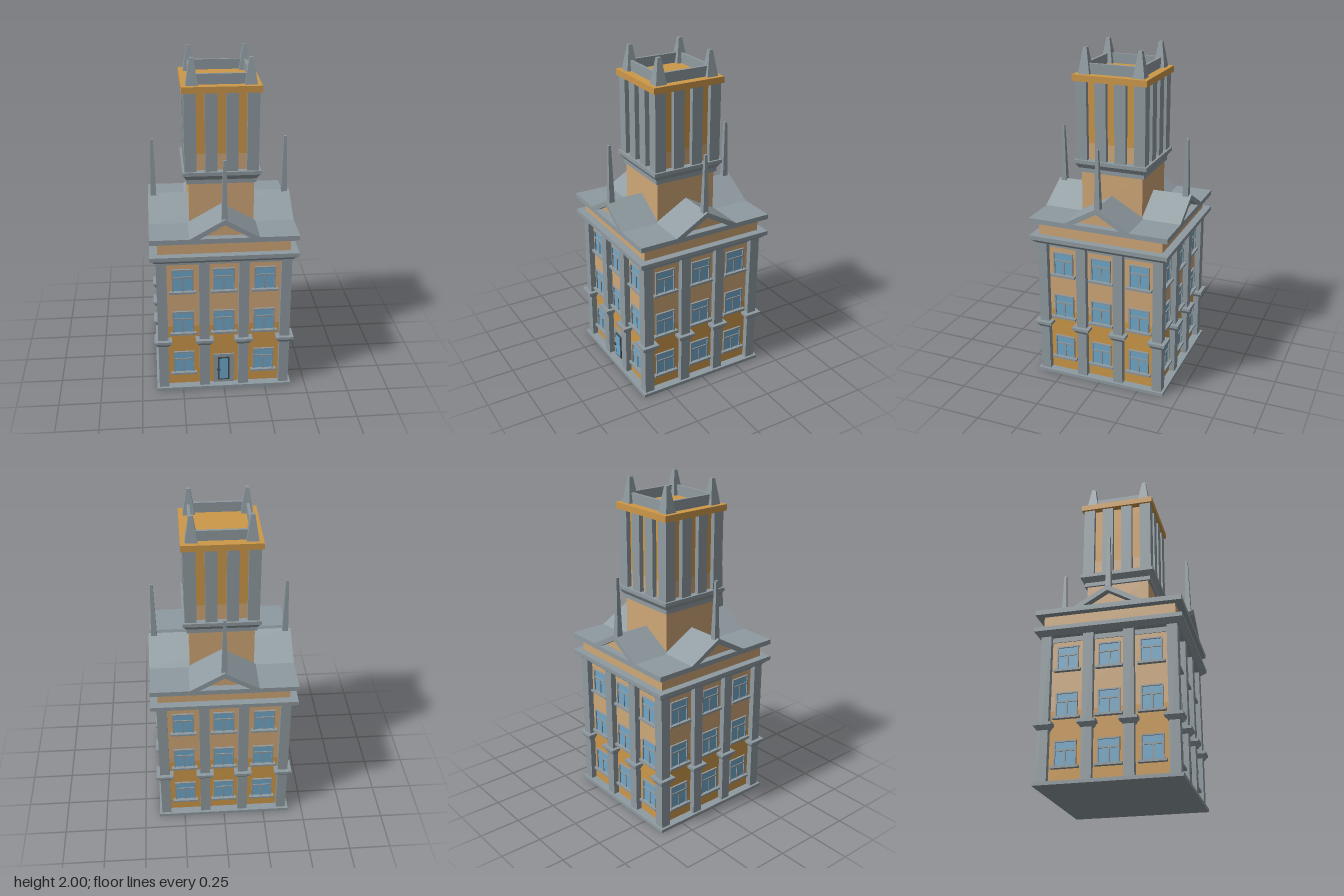
import * as THREE from 'three';

const mat = (name, color) => {
  const m = new THREE.MeshStandardMaterial({ color });
  m.name = name;
  return m;
};

export function createModel() {
  const stone = mat('grey stone', 0x8f9ba1);
  const tan = mat('tan plaster', 0xcfa878);
  const ochre = mat('ochre plaster', 0xcd984a);
  const glass = mat('blue glass', 0x6fa9cb);
  const dark = mat('dark metal', 0x3b4a52);

  const root = new THREE.Group();
  root.name = 'tower building';

  const add = (parent, name, geo, material) => {
    const m = new THREE.Mesh(geo, material);
    m.name = name;
    parent.add(m);
    return m;
  };
  // Box given by its limits on each axis
  const box = (parent, name, material, x0, x1, y0, y1, z0, z1) => {
    const m = add(parent, name, new THREE.BoxGeometry(x1 - x0, y1 - y0, z1 - z0), material);
    m.position.set((x0 + x1) / 2, (y0 + y1) / 2, (z0 + z1) / 2);
    return m;
  };
  // Centred square block
  const block = (name, material, h, y0, y1) => box(root, name, material, -h, h, y0, y1, -h, h);
  // Square frustum with half widths at bottom and top
  const frustum = (parent, name, material, x, z, y0, y1, hBottom, hTop) => {
    const g = new THREE.CylinderGeometry(hTop * Math.SQRT2, hBottom * Math.SQRT2, y1 - y0, 4)
      .rotateY(Math.PI / 4).toNonIndexed();
    g.computeVertexNormals();
    const m = add(parent, name, g, material);
    m.position.set(x, (y0 + y1) / 2, z);
  };

  // Main block
  block('basePlinth', stone, 0.41, 0, 0.02);
  block('lowerWalls', ochre, 0.36, 0.02, 0.425);
  block('upperWalls', tan, 0.36, 0.425, 0.87);
  block('wallBand', stone, 0.365, 0.84, 0.875);
  frustum(root, 'corniceSlope', stone, 0, 0, 0.87, 0.895, 0.4, 0.425);
  block('corniceSlab', stone, 0.43, 0.895, 0.92);

  // Window centred on x with its sill at y
  const addWindow = (parent, x, y) => {
    const w = new THREE.Group();
    w.name = 'window';
    w.position.set(x, y, 0);
    parent.add(w);
    box(w, 'windowPane', glass, -0.06, 0.06, 0.01, 0.15, 0.358, 0.364);
    for (const s of [-1, 1]) {
      box(w, 'windowJamb', stone, s * 0.059 - 0.004, s * 0.059 + 0.004, 0.01, 0.155, 0.358, 0.372);
    }
    box(w, 'windowHead', stone, -0.063, 0.063, 0.147, 0.155, 0.358, 0.372);
    box(w, 'windowTransom', stone, -0.06, 0.06, 0.097, 0.107, 0.358, 0.37);
    box(w, 'windowMullion', stone, -0.005, 0.005, 0.01, 0.1, 0.358, 0.37);
    box(w, 'windowSill', stone, -0.078, 0.078, 0, 0.013, 0.358, 0.385);
  };

  const addDoor = (parent) => {
    const d = new THREE.Group();
    d.name = 'door';
    parent.add(d);
    box(d, 'doorSurround', stone, -0.062, 0.062, 0.02, 0.22, 0.355, 0.37);
    box(d, 'doorFrame', dark, -0.034, 0.034, 0.04, 0.2, 0.365, 0.376);
    box(d, 'doorPane', glass, -0.026, 0.026, 0.049, 0.191, 0.37, 0.379);
    box(d, 'doorHandle', dark, -0.042, -0.022, 0.115, 0.123, 0.375, 0.388);
  };

  // Pillar with a flared collar
  const addPillar = (parent, x) => {
    const p = new THREE.Group();
    p.name = 'pillar';
    parent.add(p);
    box(p, 'pillarShaft', stone, x - 0.03, x + 0.03, 0.02, 0.88, 0.335, 0.395);
    frustum(p, 'pillarCollar', stone, x, 0.365, 0.31, 0.333, 0.034, 0.048);
    box(p, 'pillarCap', stone, x - 0.053, x + 0.053, 0.333, 0.35, 0.312, 0.418);
  };

  // Four matching sides, the door only on the front
  for (let i = 0; i < 4; i++) {
    const side = new THREE.Group();
    side.name = ['frontSide', 'leftSide', 'backSide', 'rightSide'][i];
    side.rotation.y = i * Math.PI / 2;
    root.add(side);

    for (const x of [-0.117, 0.117, 0.365]) addPillar(side, x);
    for (const x of [-0.242, 0, 0.242]) {
      for (const y of [0.095, 0.375, 0.655]) {
        if (i === 0 && x === 0 && y < 0.1) addDoor(side);
        else addWindow(side, x, y);
      }
    }

    // Spire on the gable, ribs of the belfry, parapet and corner finial
    frustum(side, 'gableSpire', stone, 0, 0.395, 1.12, 1.485, 0.018, 0.008);
    for (const x of [-0.06, 0.06]) {
      box(side, 'belfryRib', stone, x - 0.034, x + 0.034, 1.35, 1.82, 0.17, 0.213);
    }
    box(side, 'belfryCornerRib', stone, 0.145, 0.213, 1.35, 1.82, 0.145, 0.213);
    box(side, 'parapetRail', stone, -0.14, 0.14, 1.85, 1.912, 0.16, 0.176);
    frustum(side, 'cornerFinial', stone, 0.165, 0.165, 1.85, 2, 0.035, 0.011);
  }

  // Crossed gables: a tan attic under a bent roof slab, in both directions
  const prism = (pts, half) => new THREE.ExtrudeGeometry(
    new THREE.Shape(pts.map(([x, y]) => new THREE.Vector2(x, y))),
    { depth: half * 2, bevelEnabled: false }).translate(0, 0, -half);
  const attic = [[-0.385, 0.91], [0.385, 0.91], [0.385, 1.005], [0.2, 1.005],
    [0, 1.115], [-0.2, 1.005], [-0.385, 1.005]];
  const roof = [[-0.428, 1], [-0.195, 1], [0, 1.112], [0.195, 1], [0.428, 1],
    [0.428, 1.03], [0.2, 1.03], [0, 1.145], [-0.2, 1.03], [-0.428, 1.03]];
  for (const turn of [0, Math.PI / 2]) {
    add(root, 'atticGable', prism(attic, 0.385), tan).rotation.y = turn;
    add(root, 'gableRoof', prism(roof, 0.428), stone).rotation.y = turn;
  }

  // Tower
  block('towerNeck', tan, 0.19, 1, 1.29);
  block('towerCorniceBase', stone, 0.203, 1.275, 1.3);
  frustum(root, 'towerCorniceSlope', stone, 0, 0, 1.3, 1.33, 0.203, 0.222);
  block('towerCorniceSlab', stone, 0.226, 1.33, 1.352);
  block('belfryLowerCore', tan, 0.185, 1.35, 1.45);
  block('belfryUpperCore', ochre, 0.185, 1.45, 1.82);
  block('towerTopSlab', ochre, 0.226, 1.815, 1.852);

  return root;
}
